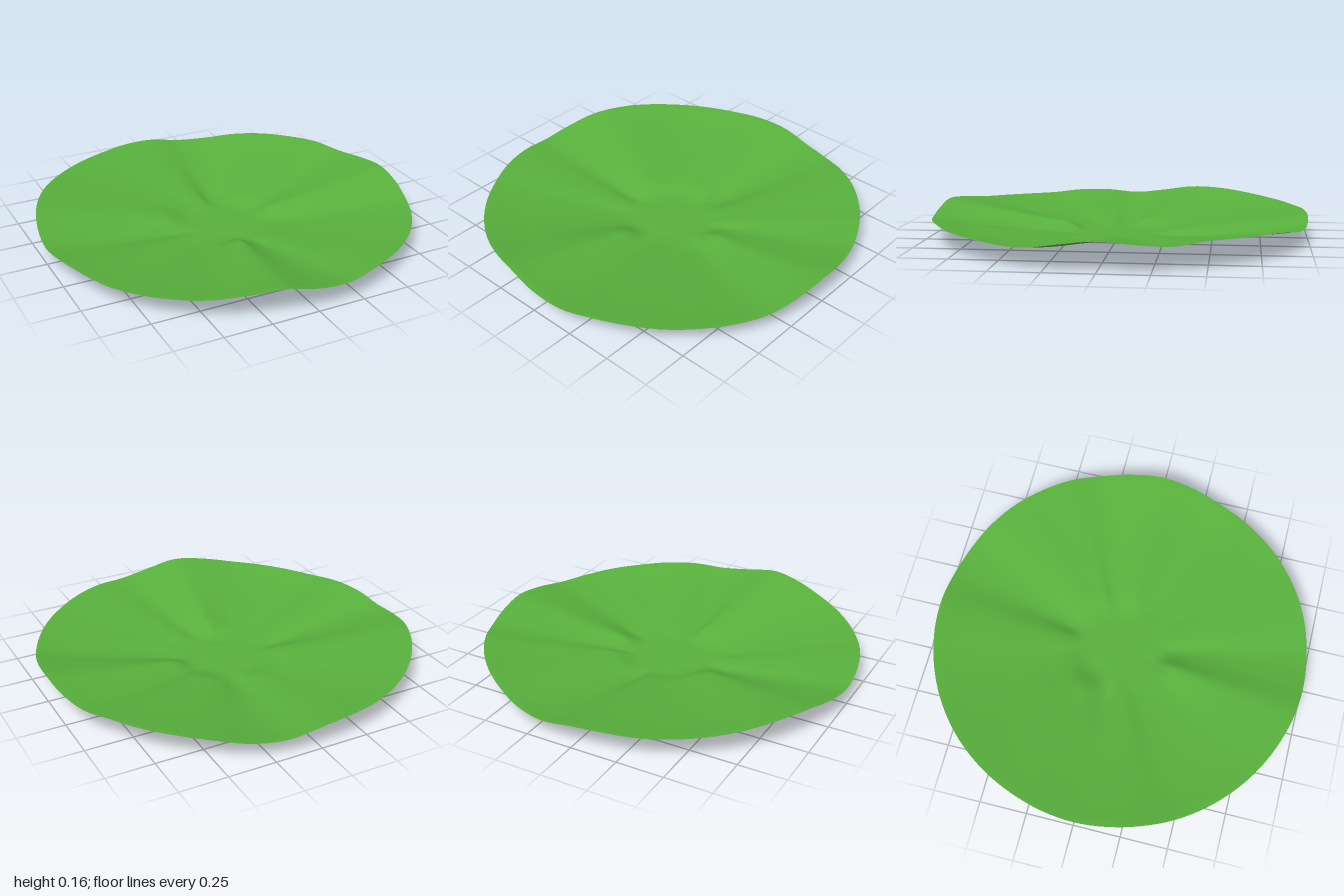
import * as THREE from 'three';
import { mergeVertices } from 'three/addons/utils/BufferGeometryUtils.js';

// Rim height every 10 degrees, from +x round towards +z
const RIM = [
  0.160, 0.140, 0.113, 0.112, 0.118, 0.121, 0.128, 0.127, 0.115,
  0.135, 0.168, 0.155, 0.133, 0.122, 0.115, 0.112, 0.122, 0.118,
  0.102, 0.122, 0.150, 0.156, 0.150, 0.142, 0.138, 0.136, 0.140,
  0.132, 0.103, 0.105, 0.128, 0.141, 0.145, 0.147, 0.132, 0.145,
];
const RIM_MEAN = 0.13;

// Bowl height and ripple strength at every tenth of the radius
const BOWL = [0.02, 0.02, 0.02, 0.035, 0.046, 0.058, 0.07, 0.083, 0.097, 0.113, 0.13];
const RIPPLE = [0, 0, 0.04, 0.8, 0.86, 0.88, 0.9, 0.93, 0.96, 0.99, 1];

// Smooth interpolation through a list of values
function sample(list, t, closed) {
  const n = list.length;
  const at = (i) => list[closed ? (i + n) % n : THREE.MathUtils.clamp(i, 0, n - 1)];
  const i = Math.floor(t), f = t - i;
  const a = at(i - 1), b = at(i), c = at(i + 1), d = at(i + 2);
  return b + 0.5 * f * (c - a + f * (2 * a - 5 * b + 4 * c - d + f * (3 * (b - c) + d - a)));
}

export function createModel() {
  const group = new THREE.Group();
  group.name = 'rippledLeaf';

  // Round sheet: flat centre, radial ripples running out to a raised wavy rim
  let geometry = new THREE.RingGeometry(0, 1, 144, 50);
  geometry.rotateX(-Math.PI / 2);
  const p = geometry.attributes.position;
  for (let i = 0; i < p.count; i++) {
    const x = p.getX(i), z = p.getZ(i);
    const r = Math.min(Math.hypot(x, z), 1);
    const turn = (Math.atan2(z, x) / (2 * Math.PI) + 1) % 1;
    const wave = sample(RIM, turn * RIM.length, true) - RIM_MEAN;
    p.setY(i, sample(BOWL, r * 10, false) + sample(RIPPLE, r * 10, false) * wave);
  }

  // Weld the seam so the shading is smooth all round
  geometry.deleteAttribute('uv');
  geometry.deleteAttribute('normal');
  geometry = mergeVertices(geometry, 1e-5);
  geometry.computeVertexNormals();
  geometry.computeBoundingBox();
  geometry.translate(0, -geometry.boundingBox.min.y, 0);

  const leaf = new THREE.Mesh(
    geometry,
    new THREE.MeshStandardMaterial({ color: 0x58b03c, side: THREE.DoubleSide })
  );
  leaf.name = 'leaf';
  group.add(leaf);
  return group;
}
